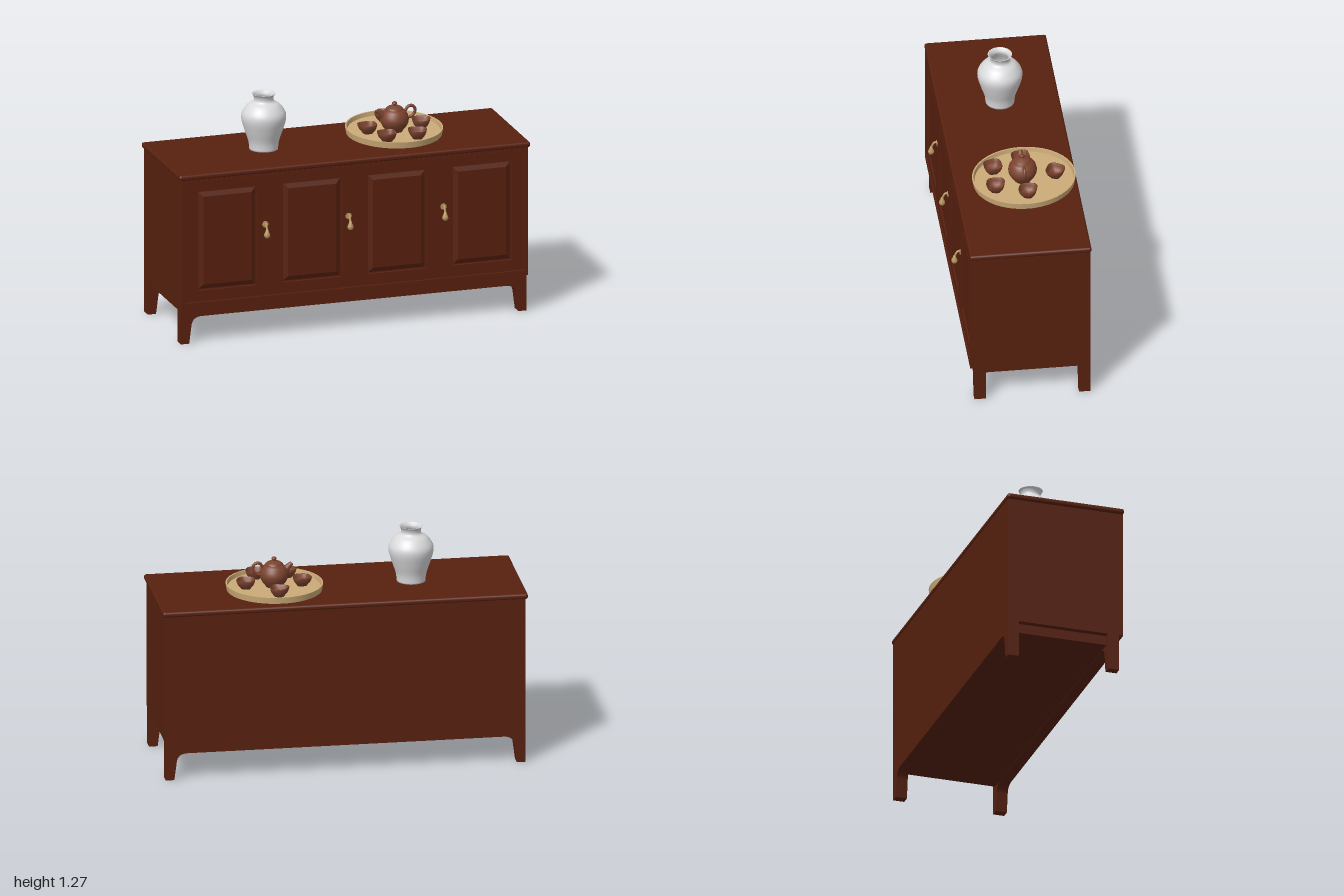
import * as THREE from 'three';
import { RoundedBoxGeometry } from 'three/addons/geometries/RoundedBoxGeometry.js';

const material = (name, color, extra = {}) => {
  const m = new THREE.MeshStandardMaterial({ color, ...extra });
  m.name = name;
  return m;
};

export function createModel() {
  const wood = material('red brown wood', 0x58210f);
  const brass = material('brass', 0xb8975f);
  const porcelain = material('white porcelain', 0xdadadc);
  const clay = material('brown clay', 0x7c432e);
  const bamboo = material('pale tray', 0xcbab78);

  const model = new THREE.Group();
  model.name = 'sideboardWithTeaSet';

  const add = (parent, name, geometry, mat, x = 0, y = 0, z = 0) => {
    const mesh = new THREE.Mesh(geometry, mat);
    mesh.name = name;
    mesh.position.set(x, y, z);
    parent.add(mesh);
    return mesh;
  };
  const group = (parent, name, x = 0, y = 0, z = 0) => {
    const g = new THREE.Group();
    g.name = name;
    g.position.set(x, y, z);
    parent.add(g);
    return g;
  };
  // box given by its lower and upper limits
  const box = (parent, name, mat, x0, x1, y0, y1, z0, z1) =>
    add(parent, name, new THREE.BoxGeometry(x1 - x0, y1 - y0, z1 - z0), mat,
      (x0 + x1) / 2, (y0 + y1) / 2, (z0 + z1) / 2);
  const rect = (Type, x0, x1, y0, y1) => new Type([
    [x0, y0], [x1, y0], [x1, y1], [x0, y1]].map(p => new THREE.Vector2(...p)));
  // rectangular frame with a rectangular opening
  const frame = (outer, inner, depth) => {
    const s = rect(THREE.Shape, ...outer);
    s.holes.push(rect(THREE.Path, ...inner));
    return new THREE.ExtrudeGeometry(s, { depth, bevelEnabled: false });
  };
  const lathe = (points, segments = 40) =>
    new THREE.LatheGeometry(points.map(p => new THREE.Vector2(...p)), segments);

  // ---- Cabinet ----
  const cabinet = group(model, 'cabinet');
  box(cabinet, 'carcass', wood, -0.985, 0.985, 0.207, 0.935, -0.345, 0.288);
  add(cabinet, 'top', new RoundedBoxGeometry(2, 0.03, 0.663, 3, 0.012), wood, 0, 0.945, -0.018);
  add(cabinet, 'faceFrame',
    frame([-0.985, 0.985, 0.207, 0.932], [-0.968, 0.968, 0.235, 0.922], 0.024),
    wood, 0, 0, 0.287);

  // four doors, each a frame with a bevelled panel
  for (let i = 0; i < 4; i++) {
    const x0 = -0.965 + i * 0.4835, x1 = x0 + 0.4795;
    const door = group(cabinet, 'door' + (i + 1), 0, 0, 0.287);
    const opening = [x0 + 0.072, x1 - 0.072, 0.3, 0.86];
    add(door, 'doorFrame', frame([x0, x1, 0.238, 0.919], opening, 0.018), wood);
    const inset = 0.006;
    add(door, 'doorPanel', new THREE.ExtrudeGeometry(
      rect(THREE.Shape, opening[0] + inset, opening[1] - inset, 0.3 + inset, 0.86 - inset), {
        depth: 0.003, bevelEnabled: true, bevelThickness: 0.012,
        bevelSize: 0.025, bevelOffset: -0.025, bevelSegments: 1,
      }), wood);
  }

  // legs joined by a curved apron, front and back
  const legs = new THREE.Shape();
  legs.moveTo(-0.985, 0);
  legs.lineTo(-0.938, 0);
  legs.lineTo(-0.925, 0.1);
  legs.quadraticCurveTo(-0.92, 0.15, -0.865, 0.15);
  legs.lineTo(0.865, 0.15);
  legs.quadraticCurveTo(0.92, 0.15, 0.925, 0.1);
  legs.lineTo(0.938, 0);
  legs.lineTo(0.985, 0);
  legs.lineTo(0.985, 0.208);
  legs.lineTo(-0.985, 0.208);
  const legGeometry = new THREE.ExtrudeGeometry(legs, { depth: 0.063, bevelEnabled: false });
  add(cabinet, 'frontLegsAndApron', legGeometry, wood, 0, 0, 0.225);
  add(cabinet, 'backLegsAndApron', legGeometry, wood, 0, 0, -0.345);
  box(cabinet, 'underframe', wood, -0.955, 0.955, 0.152, 0.205, -0.29, 0.23);

  // drop pulls
  for (const x of [-0.51, -0.035, 0.505]) {
    const pull = group(cabinet, 'doorPull', x, 0.64, 0.304);
    const plate = add(pull, 'rosette', new THREE.CylinderGeometry(0.017, 0.019, 0.008, 16), brass);
    plate.rotation.x = Math.PI / 2;
    const stem = new THREE.CatmullRomCurve3([[0, 0.005, 0], [0, 0.006, 0.015],
      [0, -0.012, 0.027], [0, -0.035, 0.033]].map(p => new THREE.Vector3(...p)));
    add(pull, 'stem', new THREE.TubeGeometry(stem, 12, 0.006, 8), brass);
    add(pull, 'drop', lathe([[0, -0.071], [0.01, -0.068], [0.017, -0.057], [0.016, -0.046],
      [0.01, -0.034], [0.006, -0.02], [0, -0.018]], 16), brass, 0, 0, 0.033);
  }

  // ---- Vase ----
  const outside = new THREE.SplineCurve([[0.078, 0.002], [0.084, 0.05], [0.104, 0.11],
    [0.121, 0.17], [0.118, 0.21], [0.09, 0.25], [0.06, 0.27], [0.053, 0.285],
    [0.057, 0.303], [0.066, 0.315]].map(p => new THREE.Vector2(...p))).getPoints(40);
  const vase = [[0, 0], ...outside.map(p => [p.x, p.y]), [0.06, 0.314], [0.048, 0.3],
    [0.046, 0.28], [0.08, 0.24], [0.1, 0.18], [0.07, 0.05], [0, 0.03]];
  add(model, 'vase', lathe(vase, 48), porcelain, -0.41, 0.96, -0.025);

  // ---- Tray with tea set, tilted slightly forward ----
  const teaSet = group(model, 'teaSet', 0.345, 0.968, -0.062);
  teaSet.rotation.x = 0.025;
  const tray = add(teaSet, 'tray', lathe([[0, 0], [0.98, 0], [0.98, 0], [1, 0.035], [1, 0.035],
    [0.97, 0.035], [0.97, 0.035], [0.955, 0.012], [0.955, 0.012], [0, 0.012]], 64), bamboo);
  tray.scale.set(0.264, 1, 0.281);

  // cups, slightly squared and narrower to one side
  const cupGeometry = lathe([[0, 0], [0.028, 0], [0.031, 0.006], [0.043, 0.02], [0.05, 0.036],
    [0.053, 0.05], [0.049, 0.05], [0.045, 0.035], [0.035, 0.016], [0, 0.01]], 32);
  const p = cupGeometry.attributes.position;
  for (let i = 0; i < p.count; i++) {
    const x = p.getX(i), z = p.getZ(i);
    const a = Math.atan2(z, x);
    const k = 1 - 0.06 * Math.cos(4 * a);
    p.setX(i, x * k * (1 - 2.2 * z));
    p.setZ(i, z * k);
  }
  cupGeometry.computeVertexNormals();
  const cups = [[-0.15, 0, 0.1], [0.155, -0.003, -0.3], [0, -0.173, 2.7],
    [-0.091, 0.158, 0.1], [0.08, 0.164, -0.2]];
  for (const [x, z, turn] of cups) {
    add(teaSet, 'cup', cupGeometry, clay, x, 0.012, z).rotation.y = turn;
  }

  // teapot
  const teapot = group(teaSet, 'teapot', 0, 0.01, 0.006);
  add(teapot, 'body', lathe([[0, 0], [0.045, 0], [0.047, 0.01], [0.062, 0.025], [0.076, 0.052],
    [0.078, 0.072], [0.073, 0.095], [0.06, 0.115], [0.045, 0.126], [0, 0.128]]), clay);
  add(teapot, 'lid', lathe([[0.047, 0.122], [0.048, 0.129], [0.036, 0.139], [0.012, 0.145],
    [0.008, 0.149], [0.014, 0.156], [0.014, 0.162], [0.008, 0.167], [0, 0.168]]), clay);
  const handle = new THREE.CatmullRomCurve3([[0.06, 0.11], [0.08, 0.135], [0.104, 0.134],
    [0.117, 0.112], [0.108, 0.086], [0.09, 0.074], [0.068, 0.07]]
    .map(([x, y]) => new THREE.Vector3(x, y, 0)));
  add(teapot, 'handle', new THREE.TubeGeometry(handle, 32, 0.0085, 10), clay);

  // tapered spout with a small open mouth
  const spout = new THREE.CylinderGeometry(0.011, 0.026, 0.075, 16, 6, false);
  const s = spout.attributes.position;
  for (let i = 0; i < s.count; i++) {
    const t = s.getY(i) / 0.075 + 0.5;
    s.setX(i, s.getX(i) - 0.012 * t * t + 0.012 * t);
  }
  spout.computeVertexNormals();
  add(teapot, 'spout', spout, clay, -0.073, 0.1, 0).rotation.z = 0.7;

  return model;
}
